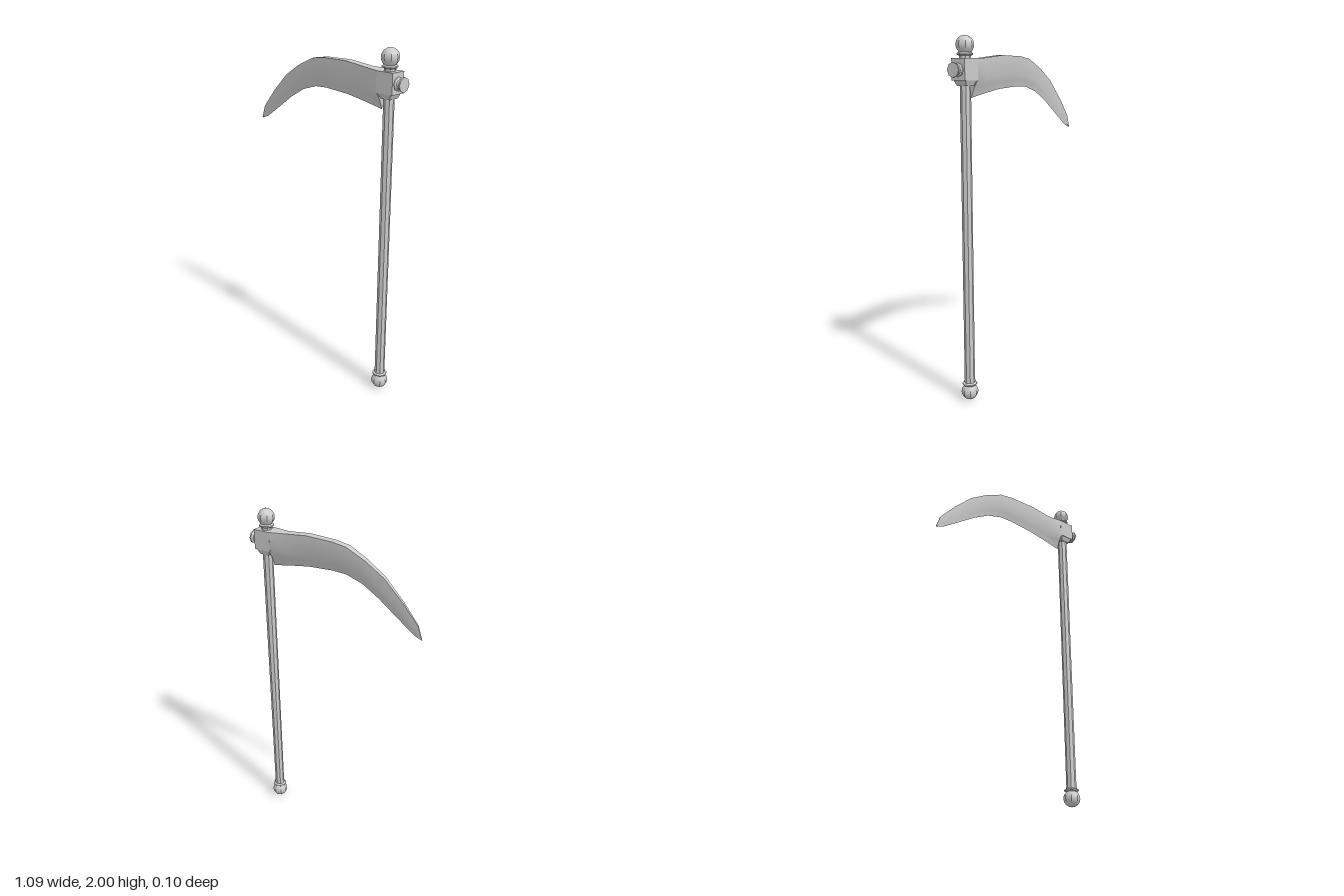
import * as THREE from 'three';
import { toCreasedNormals } from 'three/addons/utils/BufferGeometryUtils.js';

const SHAFT_X = 0.45;
const material = new THREE.MeshStandardMaterial({ color: 0xcccccc });

function add(group, name, geometry, x = 0, y = 0, z = 0) {
  const mesh = new THREE.Mesh(geometry, material);
  mesh.name = name;
  mesh.position.set(x, y, z);
  group.add(mesh);
  return mesh;
}

// Eight-sided turned part from [radius, height] pairs, bottom to top
function turned(profile, crease = 0.75) {
  const points = profile.map(([r, y]) => new THREE.Vector2(r, y));
  return toCreasedNormals(new THREE.LatheGeometry(points, 8), crease);
}

// Ball on a flared collar, with the collar's foot at y = 0
function ballProfile(neck) {
  const profile = [[neck, 0], [neck, 0.012], [0.042, 0.018], [0.042, 0.025], [0.033, 0.031]];
  const r = 0.048, centre = 0.068;
  for (let i = 0; i <= 6; i++) {
    const a = THREE.MathUtils.lerp(-0.72, Math.PI / 2, i / 6);
    profile.push([Math.max(0, r * Math.cos(a)), centre + r * Math.sin(a)]);
  }
  return profile;
}

// Blade: [spine x, spine y, edge x, edge y, half thickness, bevel share of the height]
const STATIONS = [
  [0.405, 1.884, 0.405, 1.682, 0.045, 0.45],
  [0.315, 1.888, 0.30, 1.702, 0.027, 0.43],
  [0.167, 1.904, 0.167, 1.724, 0.024, 0.40],
  [0.0, 1.901, 0.01, 1.735, 0.021, 0.38],
  [-0.087, 1.888, -0.075, 1.732, 0.019, 0.38],
  [-0.2, 1.836, -0.175, 1.702, 0.015, 0.40],
  [-0.31, 1.767, -0.28, 1.642, 0.011, 0.42],
  [-0.426, 1.655, -0.385, 1.567, 0.007, 0.45],
  [-0.517, 1.55, -0.495, 1.49, 0.004, 0.45],
  [-0.545, 1.474, -0.543, 1.472, 0.002, 0.45],
];

function bladeGeometry() {
  const positions = [], index = [], n = 7;
  for (const [sx, sy, ex, ey, w, bevel] of STATIONS) {
    // [distance from spine to edge, z] round the section, with hollow bevels
    const section = [
      [0, w], [1 - bevel, w], [1 - bevel * 0.55, w * 0.42], [1, 0],
      [1 - bevel * 0.55, -w * 0.42], [1 - bevel, -w], [0, -w],
    ];
    for (const [t, z] of section) {
      positions.push(sx + (ex - sx) * t, sy + (ey - sy) * t, z);
    }
  }
  for (let s = 0; s < STATIONS.length - 1; s++) {
    for (let i = 0; i < n; i++) {
      const j = (i + 1) % n;
      const a = s * n + i, b = s * n + j, c = a + n, d = b + n;
      index.push(a, c, b, b, c, d);
    }
  }
  // Close the heel and the tip: slab, then the two halves of the bevel
  const last = (STATIONS.length - 1) * n;
  for (const [a, b, c] of [[0, 1, 5], [0, 5, 6], [1, 2, 4], [1, 4, 5], [2, 3, 4]]) {
    index.push(a, b, c, last + a, last + c, last + b);
  }
  const geometry = new THREE.BufferGeometry();
  geometry.setAttribute('position', new THREE.Float32BufferAttribute(positions, 3));
  geometry.setIndex(index);
  return toCreasedNormals(geometry, 0.7);
}

export function createModel() {
  const model = new THREE.Group();
  model.name = 'scythe';

  // Long octagonal handle
  add(model, 'shaft', turned([[0.029, 0.08], [0.029, 1.78]], 0.3), SHAFT_X);

  // Balls at both ends of the handle
  add(model, 'topBall', turned(ballProfile(0.031)), SHAFT_X, 1.884);
  const bottom = add(model, 'bottomBall', turned(ballProfile(0.031)), SHAFT_X, 0.116);
  bottom.rotation.x = Math.PI;

  // Square socket with a tapered collar under it
  add(model, 'socket', new THREE.BoxGeometry(0.105, 0.112, 0.09), 0.4525, 1.828);
  const collar = new THREE.CylinderGeometry(0.06, 0.043, 0.028, 4, 1).toNonIndexed();
  collar.rotateY(Math.PI / 4);
  collar.computeVertexNormals();
  add(model, 'socketCollar', collar, SHAFT_X, 1.758);

  // Small flanged stud behind the blade
  const stud = add(model, 'stud', turned([
    [0.036, 0], [0.036, 0.004], [0.027, 0.011], [0.027, 0.024],
    [0.039, 0.032], [0.039, 0.04], [0, 0.04],
  ], 0.8), 0.505, 1.825);
  stud.rotation.z = -Math.PI / 2;

  add(model, 'blade', bladeGeometry());
  return model;
}
